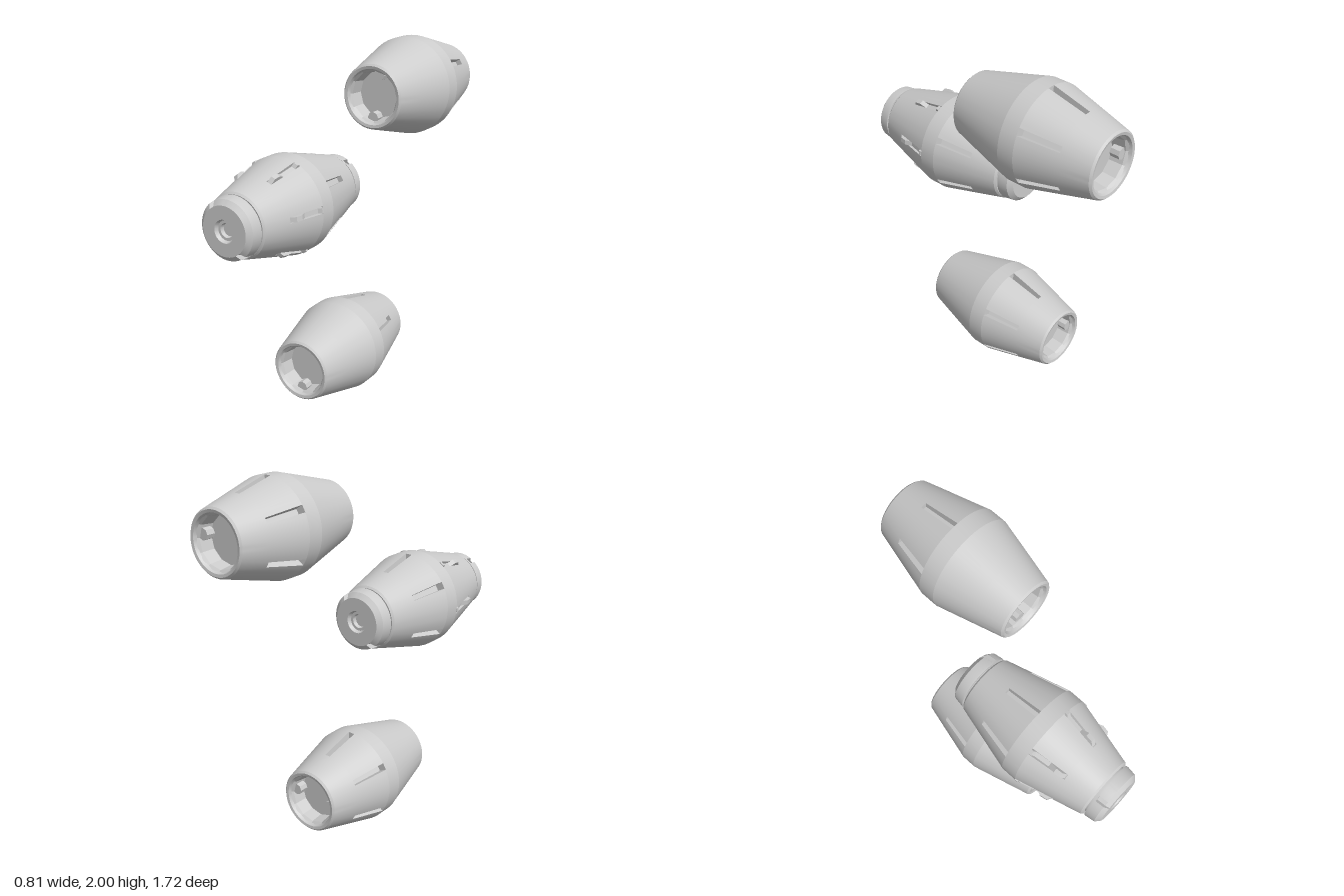
import * as THREE from 'three';
import { toCreasedNormals } from 'three/addons/utils/BufferGeometryUtils.js';

const material = new THREE.MeshStandardMaterial({ color: 0xcccccc });
const openMaterial = new THREE.MeshStandardMaterial({ color: 0xcccccc, side: THREE.DoubleSide });
const rad = THREE.MathUtils.degToRad;

function add(parent, name, geometry, mat = material) {
  const mesh = new THREE.Mesh(geometry, mat);
  mesh.name = name;
  parent.add(mesh);
  return mesh;
}

// Skin rings [z, radius, zone, depth] around z; slots {angle, half, zone} sink where zones match
function loft(rings, slots) {
  const section = [];
  const sorted = [...slots].sort((a, b) => a.angle - b.angle);
  sorted.forEach((s, i) => {
    const next = i + 1 < sorted.length ? sorted[i + 1] : { ...sorted[0], angle: sorted[0].angle + Math.PI * 2 };
    const from = s.angle - s.half, to = s.angle + s.half, end = next.angle - next.half;
    section.push([from, null], [from, s.zone], [to, s.zone], [to, null]);
    const steps = Math.max(1, Math.ceil((end - to) / 0.11));
    for (let k = 1; k < steps; k++) section.push([to + (end - to) * k / steps, null]);
  });
  const point = ([z, r, zone, depth = 0], [angle, slot]) => {
    const radius = zone && zone === slot ? r - depth : r;
    return new THREE.Vector3(radius * Math.cos(angle), radius * Math.sin(angle), z);
  };
  const positions = [];
  const triangle = (a, b, c) => {
    const area = b.clone().sub(a).cross(c.clone().sub(a)).length();
    if (area > 1e-8) for (const p of [a, b, c]) positions.push(p.x, p.y, p.z);
  };
  for (let i = 0; i + 1 < rings.length; i++) {
    section.forEach((s, j) => {
      const t = section[(j + 1) % section.length];
      const a = point(rings[i], s), b = point(rings[i], t);
      const c = point(rings[i + 1], t), d = point(rings[i + 1], s);
      triangle(a, b, c);
      triangle(a, c, d);
    });
  }
  const geometry = new THREE.BufferGeometry();
  geometry.setAttribute('position', new THREE.Float32BufferAttribute(positions, 3));
  return toCreasedNormals(geometry, 0.2);
}

// Six evenly spaced long slots
function slotRing(zone, offset) {
  return Array.from({ length: 6 }, (_, i) => ({ angle: rad(offset + 60 * i), half: 0.073, zone }));
}

// Double-cone shell; slots on the back half, optionally on the front half too
function barrelShell(frontSlots) {
  const slots = slotRing('back', 30);
  if (frontSlots) slots.push(...slotRing('front', 6));
  return loft([
    [-0.395, 0.14], [-0.412, 0.147], [-0.415, 0.162], [-0.405, 0.172],
    [-0.255, 0.211], [-0.255, 0.211, 'back', 0.03],
    [-0.045, 0.265, 'back', 0.045], [-0.045, 0.265],
    [0.045, 0.265], [0.045, 0.265, 'front', 0.045],
    [0.255, 0.211, 'front', 0.03], [0.255, 0.211],
    [0.405, 0.172], [0.415, 0.162], [0.412, 0.147], [0.395, 0.14],
  ], slots);
}

// Faceted recess with two opposite locking lugs, on the +z end
function socket(name, lugAngle) {
  const group = new THREE.Group();
  group.name = name;
  const profile = [[0.15, 0.403], [0.134, 0.385], [0.125, 0.315], [0, 0.315]];
  const bore = new THREE.LatheGeometry(profile.map(([r, z]) => new THREE.Vector2(r, z)), 12);
  bore.rotateX(Math.PI / 2);
  add(group, 'socketBore', toCreasedNormals(bore, 0.2), openMaterial);
  for (const angle of [lugAngle, lugAngle + 187]) {
    const lug = new THREE.CylinderGeometry(0.031, 0.031, 0.05, 8);
    lug.rotateX(Math.PI / 2);
    lug.translate(0.116 * Math.cos(rad(angle)), 0.116 * Math.sin(rad(angle)), 0.355);
    add(group, 'lockingLug', toCreasedNormals(lug, 0.2));
  }
  return group;
}

// Twist-in end cap with a neck, two side notches and a stepped centre hole
function endCap(name) {
  const group = new THREE.Group();
  group.name = name;
  const notches = [124, 306].map((a) => ({ angle: rad(a), half: 0.11, zone: 'notch' }));
  add(group, 'capShell', loft([
    [0.36, 0.145], [0.423, 0.145], [0.423, 0.163],
    [0.433, 0.163], [0.433, 0.163, 'notch', 0.025],
    [0.482, 0.156, 'notch', 0.025], [0.505, 0.13, 'notch', 0.01], [0.505, 0.13],
    [0.505, 0.06], [0.485, 0.052], [0.485, 0.038], [0.465, 0.034], [0.465, 0.0001],
  ], notches));
  return group;
}

// Snap tongues lying in the front slots, each ending in a raised catch
function snapTongues() {
  const group = new THREE.Group();
  group.name = 'snapTongues';
  const outline = [[0.043, 0.2], [0.045, 0.268], [0.06, 0.268], [0.07, 0.248], [0.155, 0.226],
    [0.195, 0.242], [0.232, 0.235], [0.25, 0.205], [0.25, 0.17]];
  const shape = new THREE.Shape(outline.map(([z, r]) => new THREE.Vector2(z, r)));
  for (const { angle } of slotRing('front', 6)) {
    const tongue = new THREE.ExtrudeGeometry(shape, { depth: 0.026, bevelEnabled: false });
    tongue.translate(0, 0, -0.013);
    tongue.rotateY(-Math.PI / 2);
    tongue.rotateZ(angle - Math.PI / 2);
    add(group, 'snapTongue', tongue);
  }
  return group;
}

function barrel(name, x, y, z, capped) {
  const group = new THREE.Group();
  group.name = name;
  group.position.set(x, y, z);
  add(group, 'barrelShell', barrelShell(capped));
  const front = capped ? endCap('frontCap') : socket('frontSocket', 78);
  const back = capped ? endCap('backCap') : socket('backSocket', 170);
  back.rotation.y = Math.PI;
  group.add(front, back);
  if (capped) group.add(snapTongues());
  return group;
}

export function createModel() {
  const model = new THREE.Group();
  model.name = 'barrelSet';
  model.add(
    barrel('upperBarrel', 0.14, 1.735, -0.445, false),
    barrel('cappedBarrel', -0.14, 1.212, 0.355, true),
    barrel('lowerBarrel', -0.067, 0.265, -0.055, false),
  );
  return model;
}
